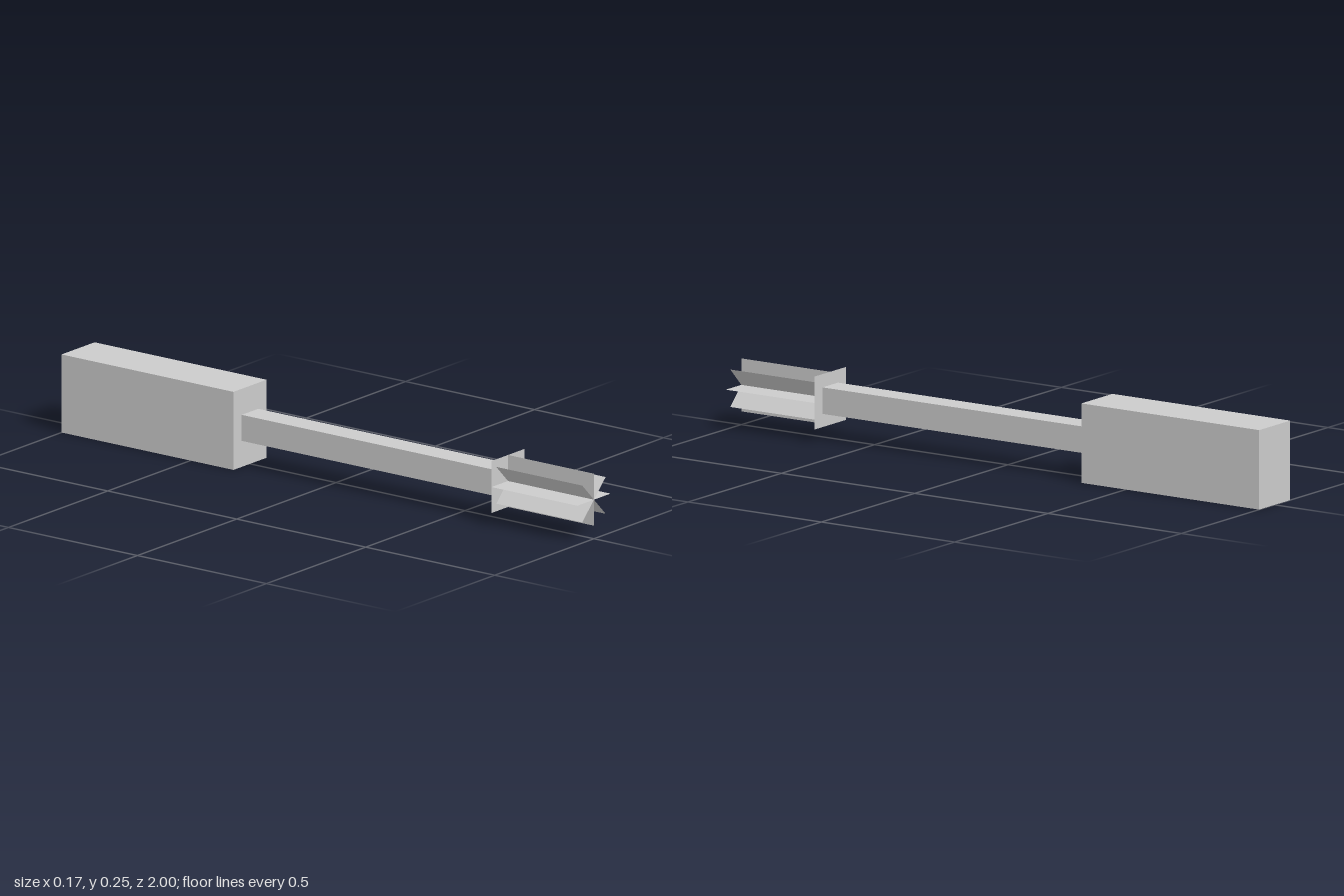
import * as THREE from 'three';

export function createModel() {
  const group = new THREE.Group();
  const U = 1 / 24; // base module of all sizes
  const axisY = 3 * U;
  const solid = new THREE.MeshStandardMaterial({ color: 0xcccccc, flatShading: true });
  const sheet = new THREE.MeshStandardMaterial({ color: 0xcccccc, flatShading: true, side: THREE.DoubleSide });

  const add = (name, geometry, material, z, parent = group) => {
    const mesh = new THREE.Mesh(geometry, material);
    mesh.name = name;
    mesh.position.set(0, axisY, z);
    parent.add(mesh);
    return mesh;
  };

  // Block at the back and the square rod running forward from it
  add('handle', new THREE.BoxGeometry(4 * U, 6 * U, 16 * U), solid, -16 * U);
  add('shaft', new THREE.BoxGeometry(2 * U, 2 * U, 24 * U), solid, 4 * U);

  // Thin square plate closing the rod
  add('endPlate', new THREE.PlaneGeometry(4 * U, 4 * U), sheet, 16 * U);

  // Four thin blades crossing on the axis, 45 degrees apart
  const head = new THREE.Group();
  head.name = 'bladeHead';
  group.add(head);
  const blade = new THREE.PlaneGeometry(4 * U, 8 * U).rotateX(-Math.PI / 2);
  for (let i = 0; i < 4; i++) {
    add('blade', blade, sheet, 20 * U, head).rotation.z = (i * Math.PI) / 4;
  }

  return group;
}
